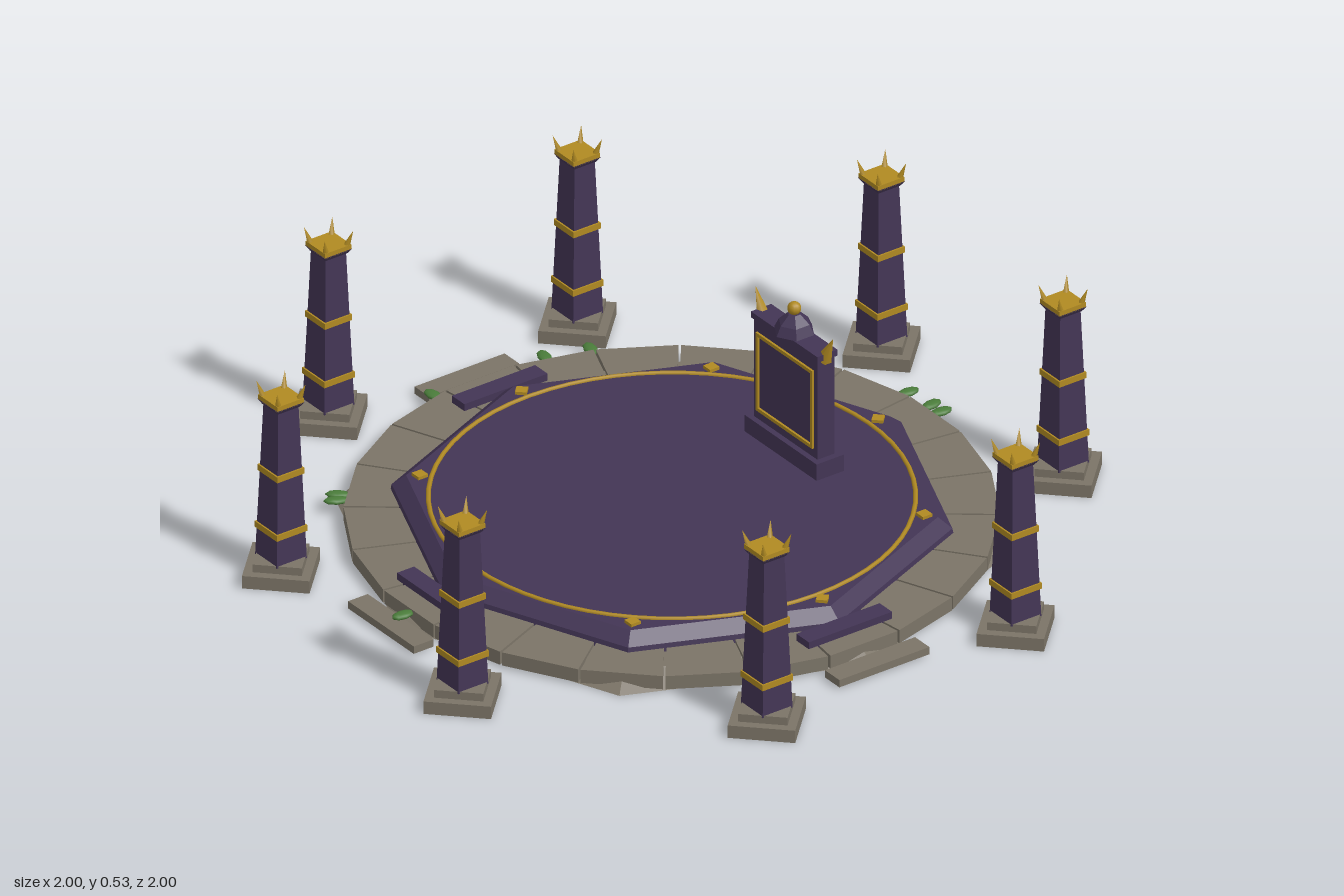
import * as THREE from 'three';

const mat = (name, color) => {
  const m = new THREE.MeshStandardMaterial({ color });
  m.name = name;
  return m;
};

export function createModel() {
  const stone = mat('stone', 0x7b7467);
  const purple = mat('purple', 0x433555);
  const gold = mat('gold', 0xb08a22);
  const green = mat('leaf green', 0x4a7c3a);
  const model = new THREE.Group();

  const add = (parent, name, geo, material, x = 0, y = 0, z = 0) => {
    const mesh = new THREE.Mesh(geo, material);
    mesh.name = name;
    mesh.position.set(x, y, z);
    parent.add(mesh);
    return mesh;
  };
  const box = (w, h, d) => new THREE.BoxGeometry(w, h, d);
  // prism with flat faces; r0 is the bottom corner radius, r1 the top one
  const prism = (r0, r1, y0, y1, n, turn = 0) => {
    const g = new THREE.CylinderGeometry(r1, r0, y1 - y0, n);
    g.rotateY(turn).translate(0, (y0 + y1) / 2, 0);
    const flat = g.toNonIndexed();
    flat.computeVertexNormals();
    return flat;
  };
  // cone running from one point to another
  const spike = (parent, name, from, to, r, n) => {
    const a = new THREE.Vector3(...from), d = new THREE.Vector3(...to).sub(a);
    const g = new THREE.ConeGeometry(r, d.length(), n).translate(0, d.length() / 2, 0);
    const m = add(parent, name, g, gold, ...from);
    m.quaternion.setFromUnitVectors(new THREE.Vector3(0, 1, 0), d.normalize());
  };

  // Stone foundation with a ring of paving blocks
  add(model, 'foundation', prism(0.81, 0.75, 0, 0.034, 8), stone);
  const ring = new THREE.Group();
  ring.name = 'pavingRing';
  model.add(ring);
  const blocks = 24, half = Math.PI / blocks;
  const wi = 0.6 * Math.tan(half) - 0.003, wo = 0.775 * Math.tan(half) - 0.003;
  const wedge = new THREE.Shape([
    new THREE.Vector2(-wi, 0.6), new THREE.Vector2(wi, 0.6),
    new THREE.Vector2(wo, 0.775), new THREE.Vector2(-wo, 0.775)]);
  const blockGeo = new THREE.ExtrudeGeometry(wedge, { depth: 0.036, bevelEnabled: false });
  blockGeo.rotateX(-Math.PI / 2);
  for (let i = 0; i < blocks; i++) {
    add(ring, 'pavingBlock', blockGeo, stone, 0, 0.007, 0).rotation.y = i * 2 * half;
  }

  // Raised octagonal floor, inlaid ring and studs
  add(model, 'floorSkirt', prism(0.68, 0.675, 0.03, 0.055, 8), purple);
  add(model, 'floor', prism(0.675, 0.64, 0.055, 0.083, 8), purple);
  const inlay = add(model, 'floorRing', new THREE.TorusGeometry(0.58, 0.006, 6, 64), gold, 0, 0.083, 0);
  inlay.rotation.x = Math.PI / 2;
  for (let i = 0; i < 8; i++) {
    const a = i * Math.PI / 4;
    const stud = add(model, 'floorStud', box(0.028, 0.012, 0.028), gold,
      0.607 * Math.sin(a), 0.085, 0.607 * Math.cos(a));
    stud.rotation.y = a + Math.PI / 4;
  }

  // Steps on the front and both sides
  for (const a of [-Math.PI / 2, 0, Math.PI / 2]) {
    const steps = new THREE.Group();
    steps.name = 'steps';
    steps.rotation.y = a;
    add(steps, 'lowerStep', box(0.265, 0.02, 0.058), stone, 0, 0.016, 0.828);
    add(steps, 'upperStep', box(0.245, 0.026, 0.05), purple, 0, 0.049, 0.695);
    model.add(steps);
  }

  // Eight obelisks around the floor
  const q = Math.PI / 4, s = Math.SQRT2;
  const plinthGeo = prism(0.115, 0.115, 0, 0.034, 4);
  const plinthTopGeo = prism(0.084, 0.084, 0.034, 0.055, 4);
  const shaftGeo = prism(0.044 * s, 0.03 * s, 0.05, 0.465, 4, q);
  const capGeo = prism(0.032 * s, 0.04 * s, 0.465, 0.478, 4, q);
  for (let i = 0; i < 8; i++) {
    const a = (i + 0.5) * q;
    const pillar = new THREE.Group();
    pillar.name = 'obelisk';
    pillar.position.set(0.957 * Math.sin(a), 0, 0.957 * Math.cos(a));
    add(pillar, 'plinth', plinthGeo, stone);
    add(pillar, 'plinthTop', plinthTopGeo, stone);
    add(pillar, 'shaft', shaftGeo, purple);
    add(pillar, 'lowerBand', box(0.09, 0.016, 0.09), gold, 0, 0.133, 0);
    add(pillar, 'upperBand', box(0.08, 0.016, 0.08), gold, 0, 0.29, 0);
    add(pillar, 'cap', capGeo, purple);
    add(pillar, 'crown', box(0.078, 0.014, 0.078), gold, 0, 0.483, 0);
    for (const x of [-1, 1]) for (const z of [-1, 1]) {
      spike(pillar, 'crownSpike', [x * 0.03, 0.483, z * 0.03], [x * 0.042, 0.528, z * 0.042], 0.009, 5);
    }
    model.add(pillar);
  }

  // Standing tablet towards the back
  const tablet = new THREE.Group();
  tablet.name = 'tablet';
  tablet.position.z = -0.36;
  model.add(tablet);
  add(tablet, 'tabletBase', box(0.29, 0.046, 0.08), purple, 0, 0.105, 0);
  add(tablet, 'tabletSlab', box(0.256, 0.28, 0.05), purple, 0, 0.268, 0);
  add(tablet, 'tabletTop', box(0.268, 0.016, 0.06), purple, 0, 0.407, 0);
  for (const side of [-1, 1]) {
    add(tablet, 'frameSide', box(0.009, 0.214, 0.008), gold, side * 0.11, 0.26, 0.027);
    add(tablet, 'frameRail', box(0.229, 0.009, 0.008), gold, 0, 0.26 + side * 0.1025, 0.027);
    spike(tablet, 'horn', [side * 0.122, 0.395, 0], [side * 0.157, 0.465, 0], 0.019, 6);
  }
  add(tablet, 'finial', prism(0.052, 0.04, 0.415, 0.44, 6), purple);
  add(tablet, 'finialTop', prism(0.04, 0.016, 0.44, 0.463, 6), purple);
  add(tablet, 'finialBall', new THREE.SphereGeometry(0.017, 10, 8), gold, 0, 0.477, 0);

  // Leaves creeping over the rim: x, z, heading
  const leafGeo = new THREE.SphereGeometry(1, 8, 6).scale(0.017, 0.008, 0.031);
  const leaves = [
    [-0.13, -0.79, 0], [-0.05, -0.8, 0.2], [-0.01, -0.8, 0], [-0.74, -0.3, 1.3], [-0.775, -0.19, 1.3],
    [-0.785, 0.13, 1.6], [0.755, 0.255, 1.2], [-0.54, 0.59, -0.7], [-0.52, 0.61, -0.5], [0.01, 0.8, 0]];
  for (const [x, z, heading] of leaves) {
    add(model, 'leaf', leafGeo, green, x, 0.036, z).rotation.y = heading;
  }
  return model;
}
